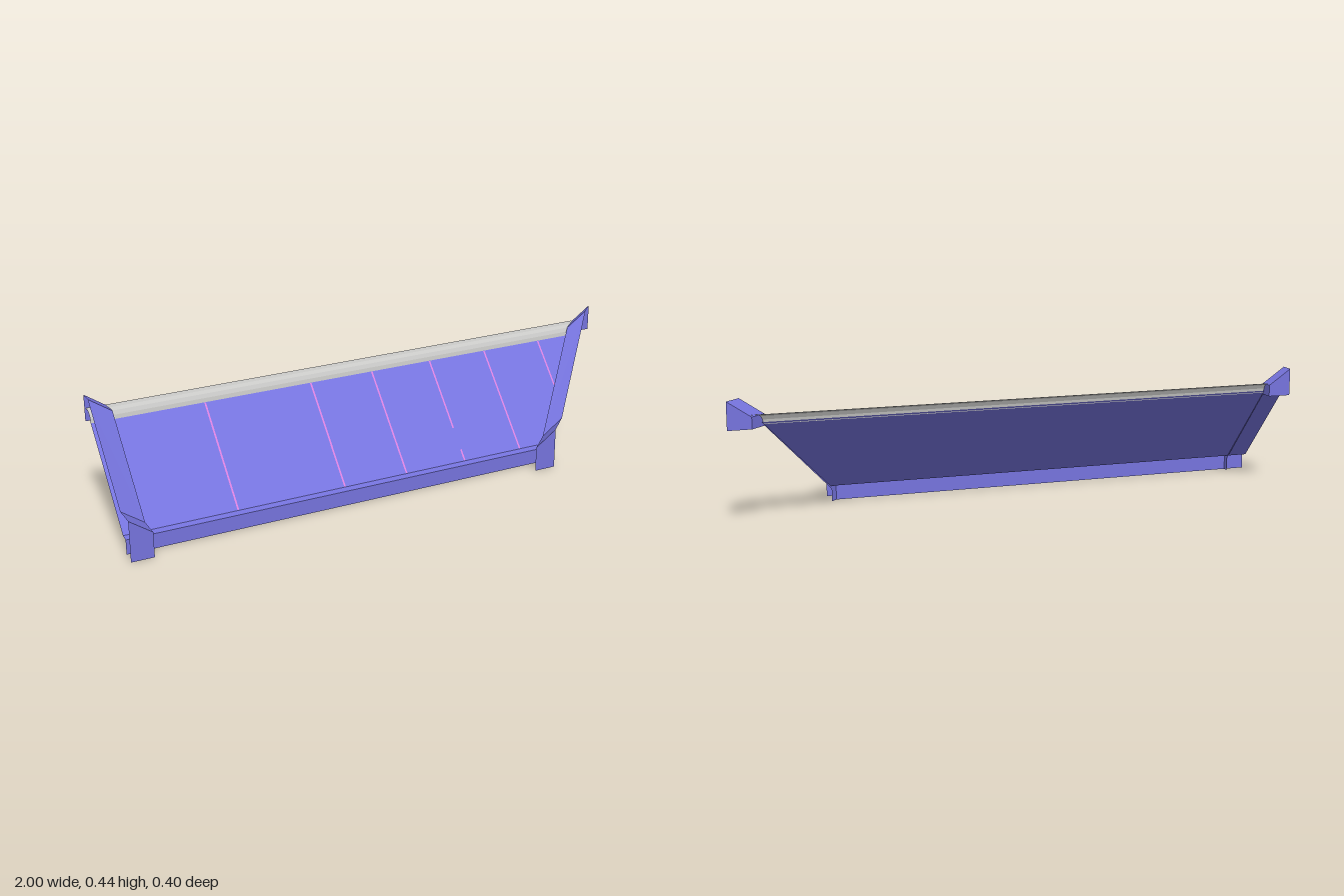
import * as THREE from 'three';

const HALF = 0.198; // half depth of the roof section

// Flat sheet lofted between matching rows of [x, y, z] points
function sheet(name, rows, material) {
  const pos = [];
  for (let i = 0; i < rows.length - 1; i++) {
    const a = rows[i], b = rows[i + 1];
    for (let j = 0; j < a.length - 1; j++) {
      pos.push(...a[j], ...b[j], ...b[j + 1], ...a[j], ...b[j + 1], ...a[j + 1]);
    }
  }
  const g = new THREE.BufferGeometry();
  g.setAttribute('position', new THREE.Float32BufferAttribute(pos, 3));
  g.computeVertexNormals();
  const m = new THREE.Mesh(g, material);
  m.name = name;
  return m;
}

// Open edge trim: upright inner wall, slanted cap rising outward, and end plates
function edgeTrim(name, innerX, outerX, material) {
  const group = new THREE.Group();
  group.name = name;
  // z, wall bottom, wall top, outer edge height
  const stations = [
    [HALF, 0, 0.09, 0.146],
    [0.12, 0, 0.09, 0.146],
    [0.12, 0.045, 0.09, 0.146],
    [-0.15, 0.34, 0.38, 0.435],
    [-HALF, 0.34, 0.38, 0.435],
  ];
  const rows = stations.map(([z, bottom, low, high]) => [
    [innerX(z), bottom, z], [innerX(z), low, z], [outerX(z), high, z],
  ]);
  group.add(sheet('trimSheet', rows, material));
  for (const [z, bottom, low, high] of [stations[0], stations[4]]) {
    const plate = [
      [[innerX(z), bottom, z], [outerX(z), bottom, z]],
      [[innerX(z), low, z], [outerX(z), high, z]],
    ];
    // wind the plates so they face outward
    if (z < 0) plate.reverse();
    if (outerX(z) > innerX(z)) plate.reverse();
    group.add(sheet('trimEndPlate', plate, material));
  }
  return group;
}

export function createModel() {
  const make = (name, color) => {
    const m = new THREE.MeshStandardMaterial({ color, side: THREE.DoubleSide });
    m.name = name;
    return m;
  };
  const blue = make('roofBlue', 0x7674de);
  const grey = make('ridgeGrey', 0xc8c8c6);
  const pink = make('seamPink', 0xd880dc);

  const roof = new THREE.Group();
  roof.name = 'roofSection';

  // Sloped panel, eave ledge and fascia, cut diagonally at the hip
  const hipInner = (z) => 0.72 - z;
  const hipOuter = (z) => 0.8 - z;
  const slopeY = (z) => 0.057 + (0.115 - z) * 1.08;
  const across = (z, y) => [[-0.995, y, z], [hipInner(z), y, z]];
  roof.add(sheet('slopedPanel', [across(0.115, 0.057), across(-0.16, slopeY(-0.16))], blue));
  roof.add(sheet('eaveLedge', [across(0.14, 0.053), across(0.115, 0.057)], blue));
  roof.add(sheet('fascia', [across(0.14, 0), across(0.14, 0.053)], blue));

  // Rounded ridge cap
  const ridge = [[-0.154, 0.346], [-0.157, 0.362], [-0.164, 0.375], [-0.176, 0.383], [-HALF, 0.386]];
  roof.add(sheet('ridgeCap', ridge.map(([z, y]) => [[-0.995, y, z], [Math.min(hipInner(z) + 0.03, 0.92), y, z]]), grey));

  // Narrow seams lying on the slope: x, lower z, upper z
  const seams = [
    [-0.595, 0.114, -0.153], [-0.2, 0.114, -0.153], [0.04, 0.114, -0.153],
    [0.275, 0.114, 0.085], [0.275, 0.028, -0.153], [0.505, 0.114, -0.153], [0.74, -0.03, -0.153],
  ];
  const w = 0.003, lift = 0.0015;
  for (const [x, z0, z1] of seams) {
    roof.add(sheet('panelSeam', [z0, z1].map((z) => [
      [x - w, slopeY(z) + lift, z + lift], [x + w, slopeY(z) + lift, z + lift],
    ]), pink));
  }

  // Straight gable trim and diagonal hip trim
  roof.add(edgeTrim('gableTrim', () => -0.92, () => -1, blue));
  roof.add(edgeTrim('hipTrim', hipInner, hipOuter, blue));
  return roof;
}
